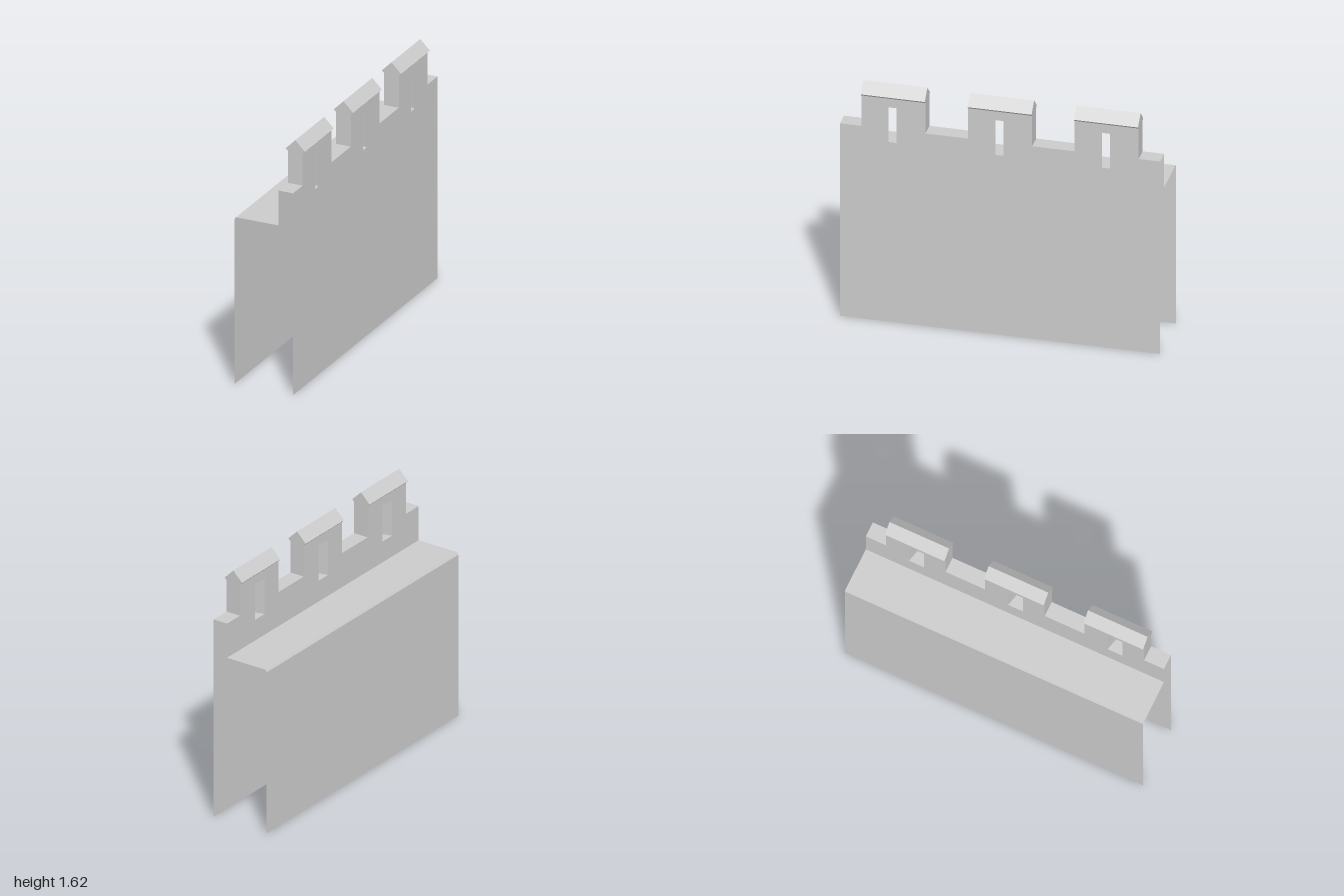
import * as THREE from 'three';

const OUT = 0.19, IN = 0.09;            // outer and inner parapet planes (x)
const WALK = 1.1, CREST = 1.33, EAVE = 1.54;
const HALF_MERLON = 0.2;
const SILL = 1.24, LINTEL = 1.48;
const merlons = [-0.665, 0, 0.667];     // merlon centres along z
const slitShift = 0.005;

const material = new THREE.MeshStandardMaterial({
  color: 0xcccccc, flatShading: true, side: THREE.DoubleSide,
});

function addMesh(parent, name, geometry) {
  const mesh = new THREE.Mesh(geometry, material);
  mesh.name = name;
  parent.add(mesh);
  return mesh;
}

// Flat-shaded geometry from four-cornered faces
function quads(list) {
  const pos = [];
  for (const [a, b, c, d] of list) pos.push(...a, ...b, ...c, ...a, ...c, ...d);
  const g = new THREE.BufferGeometry();
  g.setAttribute('position', new THREE.Float32BufferAttribute(pos, 3));
  g.computeVertexNormals();
  return g;
}

// Open sheet: an (x, y) path swept from z0 to z1
function sweep(path, z0, z1) {
  const faces = [];
  for (let i = 0; i < path.length - 1; i++) {
    const a = path[i], b = path[i + 1];
    faces.push([[...a, z1], [...b, z1], [...b, z0], [...a, z0]]);
  }
  return quads(faces);
}

const toPoints = (list) => list.map(([x, y]) => new THREE.Vector2(x, y));

// Corners (z, y) of an arrow slit
const slitCorners = (c, half) => [
  [c - half, SILL], [c + half, SILL], [c + half, LINTEL], [c - half, LINTEL],
];

// Crenellated face with arrow slits; dir is the x direction it faces
function crenellatedFace(x, dir, base, slitHalf) {
  const outline = [[1, base], [-1, base], [-1, CREST]];
  for (const c of merlons) {
    const a = c - HALF_MERLON, b = c + HALF_MERLON;
    outline.push([a, CREST], [a, EAVE], [b, EAVE], [b, CREST]);
  }
  outline.push([1, CREST]);
  const turn = ([z, y]) => [-dir * z, y];
  const shape = new THREE.Shape(toPoints(outline.map(turn)));
  for (const c of merlons) {
    shape.holes.push(new THREE.Path(toPoints(slitCorners(c + slitShift, slitHalf).map(turn))));
  }
  return new THREE.ShapeGeometry(shape).rotateY(dir * Math.PI / 2).translate(x, 0, 0);
}

export function createModel() {
  const model = new THREE.Group();
  model.name = 'battlementWall';

  // Wall faces and walkway, open at the ends and underneath
  addMesh(model, 'outerWall', crenellatedFace(OUT, 1, 0, 0.025));
  addMesh(model, 'parapetInnerFace', crenellatedFace(IN, -1, WALK, 0.05));
  addMesh(model, 'innerWall', sweep([[-0.205, 0], [-0.205, 1.085]], -1, 1));
  addMesh(model, 'walkwayEdge', sweep([[-0.205, 1.085], [-0.195, WALK]], -1, 1));
  addMesh(model, 'walkway', sweep([[-0.195, WALK], [IN, WALK]], -1, 1));

  // Low crest between the merlons
  const stops = [-1, ...merlons.flatMap((c) => [c - HALF_MERLON, c + HALF_MERLON]), 1];
  for (let i = 0; i < stops.length; i += 2) {
    addMesh(model, 'parapetCrest', sweep([[IN, CREST], [OUT, CREST]], stops[i], stops[i + 1]));
  }

  // Merlons: pitched cap, end faces and splayed arrow slit
  const cap = [[IN, EAVE], [0.075, 1.555], [0.14, 1.62], [0.205, 1.555], [OUT, EAVE]];
  const endShape = new THREE.Shape(toPoints([[IN, CREST], ...cap, [OUT, CREST]]));
  for (const c of merlons) {
    const merlon = new THREE.Group();
    merlon.name = 'merlon';
    model.add(merlon);
    const z0 = c - HALF_MERLON, z1 = c + HALF_MERLON;
    addMesh(merlon, 'cap', sweep(cap, z0, z1));
    addMesh(merlon, 'frontEnd', new THREE.ShapeGeometry(endShape).translate(0, 0, z1));
    // Mirrored across the merlon's ridge plane so it faces -z
    const back = new THREE.ShapeGeometry(endShape).translate(-0.14, 0, 0);
    addMesh(merlon, 'backEnd', back.rotateY(Math.PI).translate(0.14, 0, z0));

    const outer = slitCorners(c + slitShift, 0.025).map(([z, y]) => [OUT, y, z]);
    const inner = slitCorners(c + slitShift, 0.05).map(([z, y]) => [IN, y, z]);
    addMesh(merlon, 'arrowSlit', quads(outer.map((p, k) => {
      const n = (k + 1) % 4;
      return [p, inner[k], inner[n], outer[n]];
    })));
  }
  return model;
}
